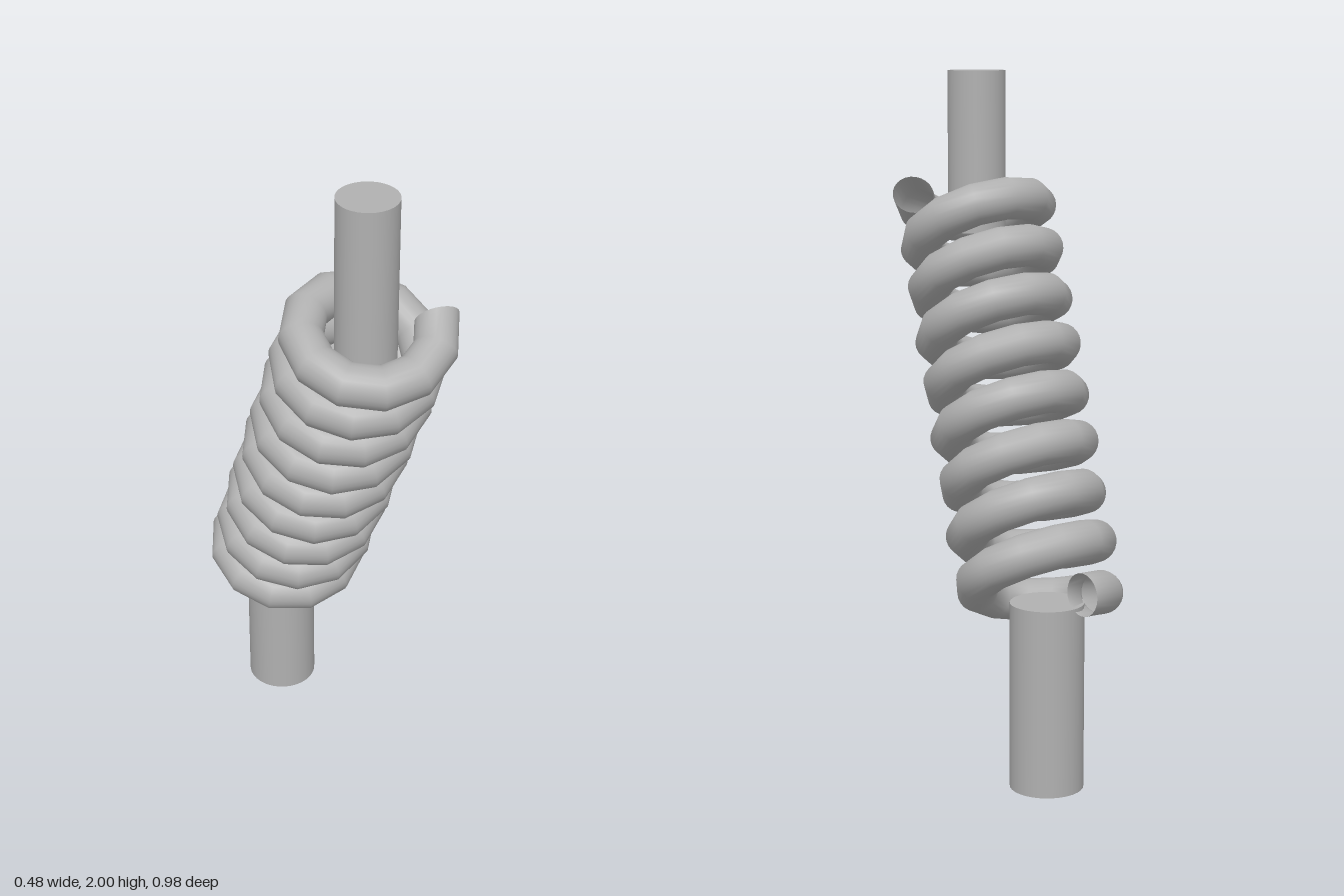
import * as THREE from 'three';

const steel = new THREE.MeshStandardMaterial({ color: 0xb0b0b0, side: THREE.DoubleSide });
steel.name = 'grey steel';

const DEG = Math.PI / 180;

// Helix wound around an axis that leans forward in the yz plane
class LeaningHelix extends THREE.Curve {
  getPoint(t, target = new THREE.Vector3()) {
    const radius = 0.178;
    const lean = 26.5 * DEG;
    const angle = (198 + 3122 * t) * DEG;
    const turns = angle / (2 * Math.PI);
    const out = Math.cos(angle) * radius;
    // axis point for this turn, plus the offset across the axis
    return target.set(
      Math.sin(angle) * radius,
      0.438 + 0.1315 * turns - out * Math.sin(lean),
      -0.312 + 0.0657 * turns + out * Math.cos(lean)
    );
  }
}

function rod(name, radius, bottom, top, z) {
  const mesh = new THREE.Mesh(new THREE.CylinderGeometry(radius, radius, top - bottom, 32), steel);
  mesh.name = name;
  mesh.position.set(0, (top + bottom) / 2, z);
  return mesh;
}

export function createModel() {
  const model = new THREE.Group();
  model.name = 'springStrut';

  // upright end rods
  model.add(rod('lowerRod', 0.105, 0, 0.54, -0.307));
  model.add(rod('upperRod', 0.085, 1.53, 2, 0.255));

  // open-ended coil spring with coarse bends
  const spring = new THREE.Mesh(new THREE.TubeGeometry(new LeaningHelix(), 100, 0.061, 24, false), steel);
  spring.name = 'coilSpring';
  model.add(spring);

  return model;
}
